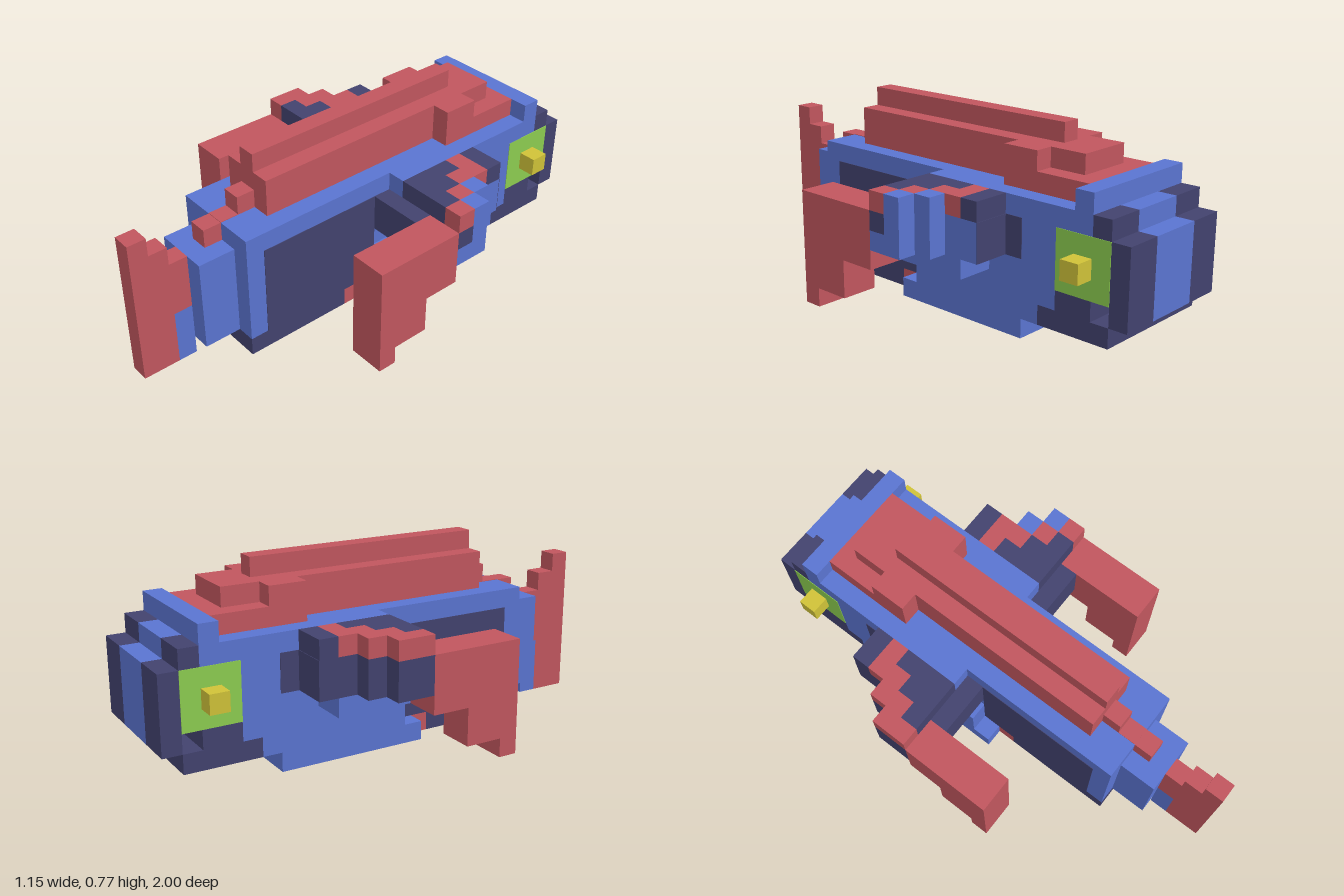
import * as THREE from 'three';

const U = 1 / 13; // one block

function material(name, color) {
  const m = new THREE.MeshStandardMaterial({ color });
  m.name = name;
  return m;
}

export function createModel() {
  const blue = material('blue', 0x5a74d0);
  const red = material('red', 0xc0565e);
  const dark = material('dark navy', 0x42426e);
  const green = material('green', 0x8ccc50);
  const yellow = material('yellow', 0xcfc238);
  const model = new THREE.Group();
  model.name = 'blockShip';

  // Box given by its block limits in x, y and z
  function box(name, mat, x0, x1, y0, y1, z0, z1) {
    const geo = new THREE.BoxGeometry((x1 - x0) * U, (y1 - y0) * U, (z1 - z0) * U);
    const mesh = new THREE.Mesh(geo, mat);
    mesh.name = name;
    mesh.position.set((x0 + x1) / 2 * U, (y0 + y1) / 2 * U, (z0 + z1) / 2 * U);
    model.add(mesh);
  }
  // Box centred on x = 0
  const mid = (name, mat, w, ...r) => box(name, mat, -w, w, ...r);
  // Box on one side (s = 1 left, -1 right), and on both sides
  const side = (s, name, mat, x0, x1, ...r) =>
    s > 0 ? box(name, mat, x0, x1, ...r) : box(name, mat, -x1, -x0, ...r);
  const pair = (...a) => { side(1, ...a); side(-1, ...a); };

  // Nose fin
  mid('finTip', red, 0.5, 0, 8, 12, 13);
  mid('finMiddle', red, 0.5, 0, 7, 11, 12);
  mid('finRoot', red, 0.5, 3, 6, 10, 11);
  mid('finFoot', blue, 0.5, 0, 3, 10, 11);
  mid('noseStud', red, 0.5, 6, 7, 8, 9);
  mid('noseStripe', red, 0.5, 6.9, 7.03, 7, 8);
  mid('spineStep', red, 0.5, 7, 8, 6, 7);

  // Front hull
  mid('nose', blue, 1.5, 1, 6, 8, 10);
  mid('frontHull', blue, 2.5, 1, 7, -1, 8);
  pair('sidePanel', dark, 2.5, 2.53, 1, 6, 0, 7);
  mid('keel', dark, 2.5, 0, 1, 2, 8);
  mid('keelCore', dark, 1.5, 0, 1, 1, 2);
  pair('keelVent', red, 1.5, 2.5, 0, 1, 1, 2);

  // Rear hull, stepped underneath
  mid('hullBase', blue, 3.5, 0, 1, -7, 1);
  mid('bellyPlate', dark, 1.5, -0.02, 0.05, -6, 1);
  mid('hullLower', blue, 3.5, 1, 3, -8, 0);
  mid('hullStep', blue, 3.5, 2, 3, -9, -8);
  mid('rearHull', blue, 3.5, 3, 7, -11, -1);
  mid('rearRidge', blue, 3.5, 7, 8, -11, -10);
  pair('sideStrip', dark, 3.5, 3.53, 4, 6, -7, -6);

  // Tail
  mid('tailSkid', dark, 3.5, 1, 2, -12, -8);
  mid('tailSkidRiser', dark, 3.5, 2, 3, -11, -9);
  mid('tailBlock', dark, 3.5, 3, 6, -12, -11);
  pair('sidePlate', green, 3.5, 3.53, 3, 6, -12, -9);
  pair('sideLamp', yellow, 3.5, 4.5, 4, 5, -11, -10);
  pair('tailTopSide', dark, 1.5, 3.5, 6, 7, -12, -11);
  mid('tailTopCentre', blue, 1.5, 6, 7, -12, -11);
  pair('tailWallSide', dark, 1.5, 3.5, 2, 6, -13, -12);
  mid('tailWallCentre', blue, 1.5, 2, 6, -13, -12);

  // Red spine on the roof
  mid('spine', red, 1.5, 7, 9, -9, 6);
  mid('spineRidge', red, 0.5, 9, 10, -7, 6);
  mid('spineShoulder', red, 2.5, 7, 9, -7, -5);
  mid('spineRearDeck', red, 2.5, 7, 8, -10, -7);

  // Arms and claws
  pair('armLedge', blue, 3.5, 5.5, 3, 4, -5, -1);
  pair('armFront', dark, 2.5, 5.5, 4, 6, -1, 0);
  pair('armTopBack', dark, 3.5, 5.5, 6, 7, -6, -5);
  pair('armTopStripe', red, 3.5, 5.5, 6, 7, -5, -4);
  // Staggered top rows: dark inside, one red block, tip colour at the edge
  for (const s of [1, -1]) {
    const tip = s > 0 ? blue : red;
    const lower = s > 0 ? blue : dark;
    for (let i = 0; i < 3; i++) {
      const x = 4.5 + i, z = -4 + i;
      side(s, 'armTopInner', dark, 3.5, x, 6, 7, z, z + 1);
      side(s, 'armTopStep', red, x, x + 1, 6, 7, z, z + 1);
      if (i < 2) side(s, 'armTopTip', tip, x + 1, x + 2, 6, 7, z, z + 1);
    }
    side(s, 'armBack', lower, 3.5, 5.5, 4, 6, -6, -4);
    side(s, 'armMiddle', lower, 3.5, 6.5, 4, 6, -4, -3);
    side(s, 'armOuter', lower, 3.5, 7.5, 4, 6, -3, -2);
    side(s, 'armWrist', lower, 3.5, 7.5, 4, 5, -2, -1);
    side(s, 'armCuff', dark, 3.5, 7.5, 5, 6, -2, -1);
  }
  pair('armBackPlate', dark, 3.5, 5.5, 4, 6, -6.03, -6);
  pair('clawUpper', red, 5.5, 7.5, 3, 6, -1, 4);
  pair('clawMiddle', red, 5.5, 7.5, 1, 3, 1, 4);
  pair('clawTip', red, 5.5, 7.5, 0, 1, 3, 4);

  return model;
}
